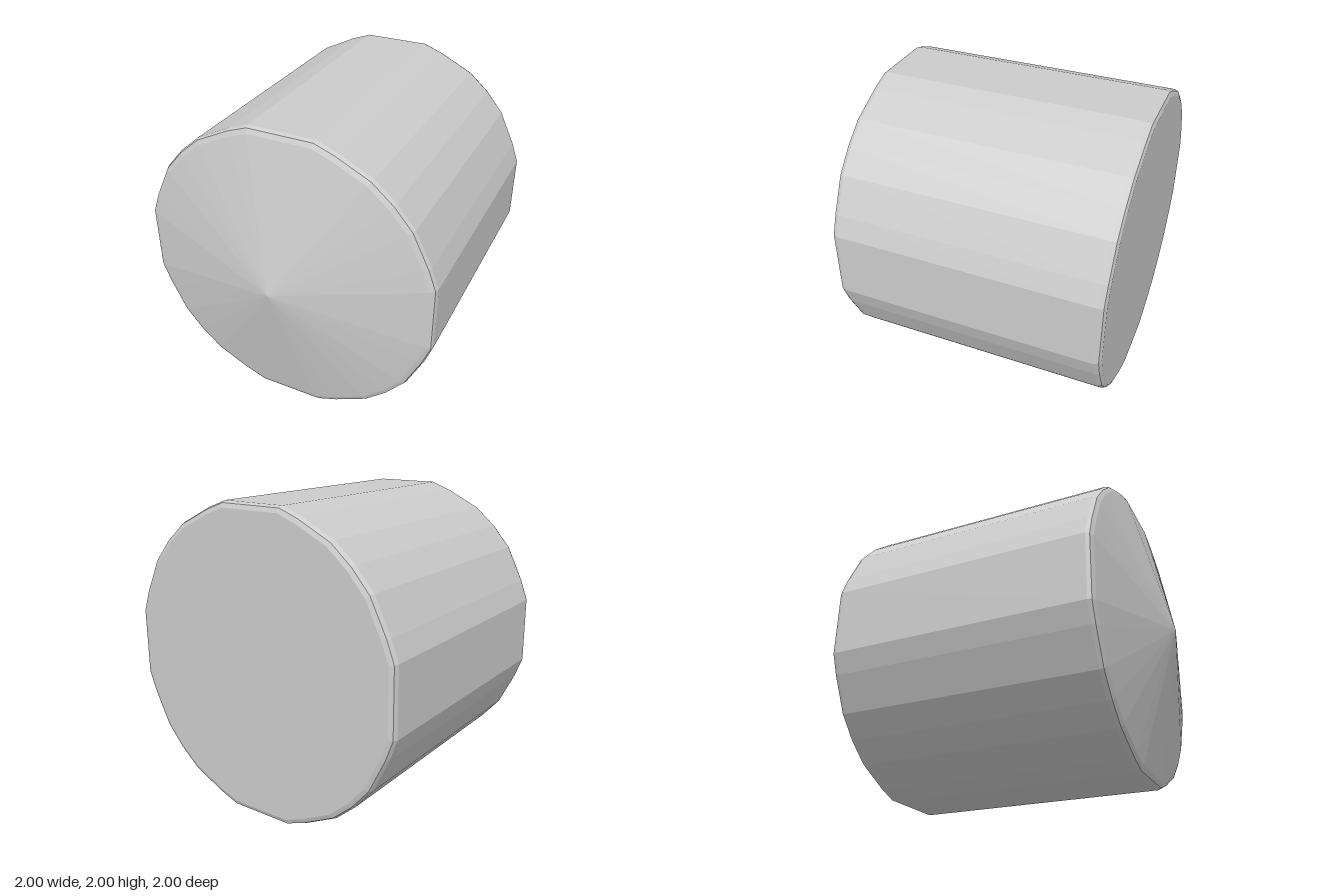
import * as THREE from 'three';

// One quadrant of the faceted outline, counter-clockwise
const QUADRANT = [[1, 0.22], [0.95, 0.355], [0.84, 0.58], [0.72, 0.72], [0.58, 0.84], [0.355, 0.95], [0.22, 1]];

// Lofts the outline through [scale, z] rings, back to front; scale 0 is a point
function loft(outline, rings) {
  const pos = [];
  const n = outline.length;
  const at = ([s, z], j) => [outline[j % n][0] * s, outline[j % n][1] * s, z];
  for (let i = 0; i < rings.length - 1; i++) {
    for (let j = 0; j < n; j++) {
      const a = at(rings[i], j), b = at(rings[i], j + 1);
      const c = at(rings[i + 1], j + 1), d = at(rings[i + 1], j);
      if (rings[i][0] > 0) pos.push(...a, ...b, ...c);
      if (rings[i + 1][0] > 0) pos.push(...a, ...c, ...d);
    }
  }
  const geometry = new THREE.BufferGeometry();
  geometry.setAttribute('position', new THREE.Float32BufferAttribute(pos, 3));
  geometry.computeVertexNormals();
  return geometry;
}

export function createModel() {
  const group = new THREE.Group();
  const material = new THREE.MeshStandardMaterial({ color: 0xcccccc, flatShading: true });

  // Repeat the quadrant by quarter turns
  const outline = [];
  for (let q = 0; q < 4; q++) {
    for (const [x, y] of QUADRANT) {
      outline.push([[x, y], [-y, x], [-x, -y], [y, -x]][q]);
    }
  }

  const addPart = (name, rings) => {
    const mesh = new THREE.Mesh(loft(outline, rings), material);
    mesh.name = name;
    mesh.position.y = 1;
    group.add(mesh);
  };

  // Flat back, rounded rims and straight sides
  addPart('barrel', [[0, -1], [0.96, -1], [0.988, -0.988], [1, -0.96], [1, 0.745], [0.99, 0.77], [0.96, 0.785]]);
  // Shallow pointed front
  addPart('conicalFront', [[0.96, 0.785], [0, 1]]);
  return group;
}
